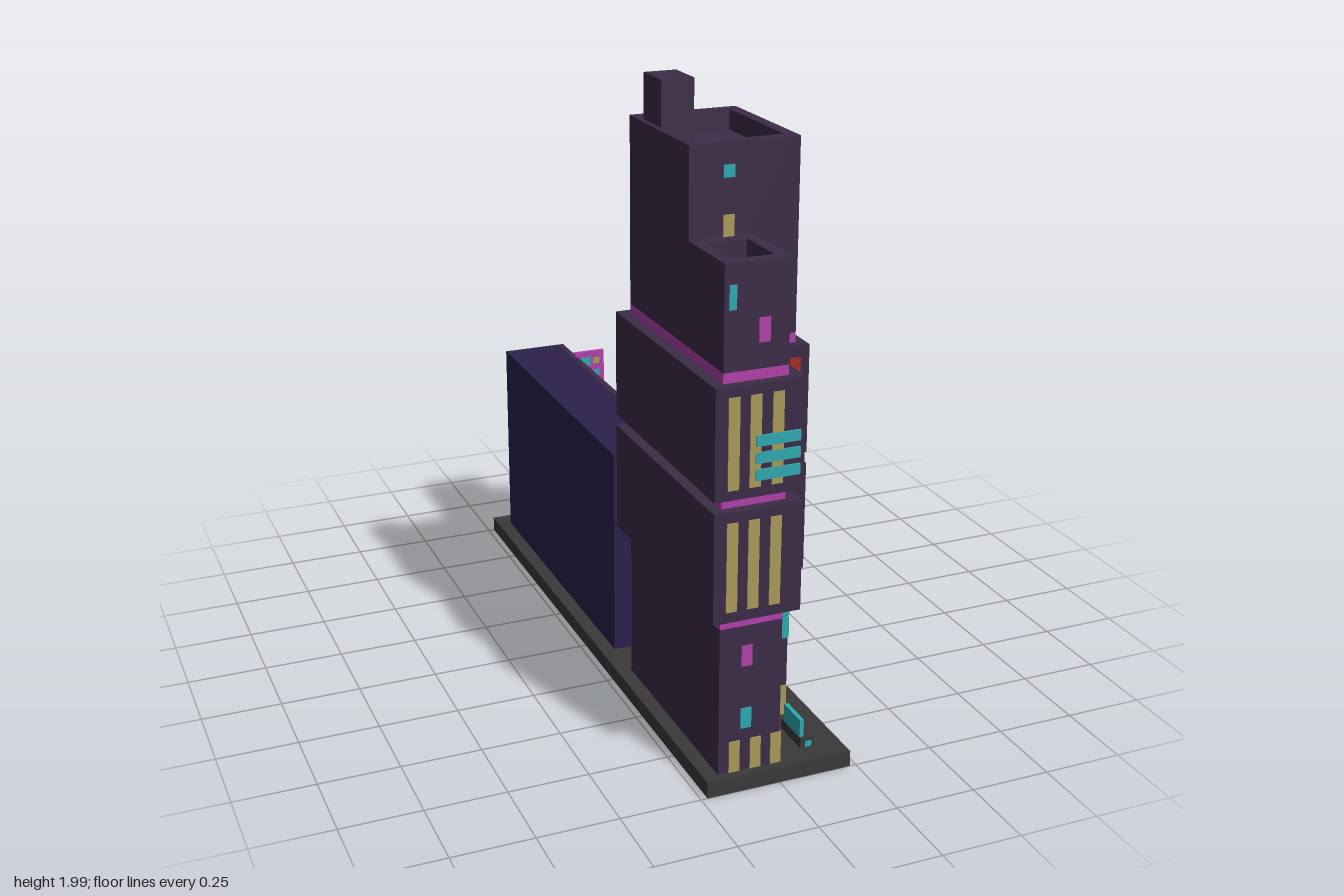
import * as THREE from 'three';

const mat = (name, color) => { const m = new THREE.MeshStandardMaterial({ color }); m.name = name; return m; };
const M = {
  P: mat('plum wall', 0x3c2c47), N: mat('navy wall', 0x2c204c), Y: mat('yellow glass', 0xab9a5a),
  C: mat('cyan glow', 0x2ea9b1), G: mat('magenta glow', 0xb041a9), R: mat('red glass', 0xa82e22),
  S: mat('rust metal', 0x6e3453), A: mat('asphalt', 0x3a3a3a), W: mat('white paint', 0xd2d2d2),
};

export function createModel() {
  const root = new THREE.Group();
  let group = root;
  const part = (name) => { group = new THREE.Group(); group.name = name; root.add(group); };
  const add = (name, m, geo) => {
    const mesh = new THREE.Mesh(geo, M[m]);
    mesh.name = name;
    group.add(mesh);
    return mesh;
  };
  // box given by its limits
  const box = (name, m, x0, x1, y0, y1, z0, z1) => {
    const mesh = add(name, m, new THREE.BoxGeometry(x1 - x0, y1 - y0, z1 - z0));
    mesh.position.set((x0 + x1) / 2, (y0 + y1) / 2, (z0 + z1) / 2);
    return mesh;
  };
  // thin panes on walls facing +x and +z / -z
  const T = 0.003, PW = 0.034;
  const sidePane = (x, m, z, y, h, w = PW) => box('window', m, x - T, x + T, y - h / 2, y + h / 2, z - w / 2, z + w / 2);
  const endPane = (z, m, x, y, h, w = PW) => box('window', m, x - w / 2, x + w / 2, y - h / 2, y + h / 2, z - T, z + T);
  const sidePanes = (x, list) => list.forEach((p) => sidePane(x, ...p));
  const endPanes = (z, list) => list.forEach((p) => endPane(z, ...p));

  part('ground');
  box('groundSlab', 'A', -0.23, 0.23, 0, 0.05, -1, 1);

  // L-shaped storeys: main body plus a narrower front wing
  part('tower');
  const storey = (name, m, x0, x1, xw, z0, zm, z1, y0, y1) => {
    const s = new THREE.Shape([[x0, -z0], [x0, -z1], [xw, -z1], [xw, -zm], [x1, -zm], [x1, -z0]].map((p) => new THREE.Vector2(...p)));
    const geo = new THREE.ExtrudeGeometry(s, { depth: y1 - y0, bevelEnabled: false });
    geo.rotateX(-Math.PI / 2).translate(0, y0, 0);
    add(name, m, geo);
  };
  const slim = [-0.185, 0.15, 0.01, 0.3, 0.73, 0.97], wide = [-0.22, 0.18, 0.05, 0.27, 0.76, 1];
  storey('lowerStorey', 'P', ...slim, 0.05, 0.515);
  storey('middleStorey', 'P', ...wide, 0.55, 0.885);
  storey('upperStorey', 'P', ...wide, 0.92, 1.25);
  for (const [a, b] of [[0.515, 0.55], [0.885, 0.92], [1.25, 1.28]]) storey('lightBand', 'G', ...slim, a, b);

  // top blocks: solid core, pierced right wall, parapet round a sunken roof
  const topBlock = (name, x1, z0, z1, y1, floor, niches, n0, n1) => {
    const t = 0.035, x0 = -0.185;
    box(name + 'Core', 'P', x0, x1 - t, 1.28, floor, z0, z1);
    box(name + 'LeftParapet', 'P', x0, x0 + t, floor, y1, z0, z1);
    box(name + 'BackParapet', 'P', x0 + t, x1 - t, floor, y1, z0, z0 + t);
    box(name + 'FrontParapet', 'P', x0 + t, x1 - t, floor, y1, z1 - t, z1);
    const rect = (a, b, c, d, K) => new K([[a, c], [b, c], [b, d], [a, d]].map((p) => new THREE.Vector2(...p)));
    const wall = rect(-z1, -z0, 1.28, y1, THREE.Shape);
    for (const z of niches) {
      wall.holes.push(rect(-z - 0.016, -z + 0.016, n0, n1, THREE.Path));
      sidePane(x1 - t, 'Y', z, (n0 + n1) / 2, n1 - n0);
    }
    const geo = new THREE.ExtrudeGeometry(wall, { depth: t, bevelEnabled: false });
    add(name + 'RightWall', 'P', geo.rotateY(Math.PI / 2).translate(x1 - t, 0, 0));
  };
  topBlock('mainTop', 0.15, 0.3, 0.73, 1.85, 1.79, [0.685, 0.618, 0.55, 0.483, 0.417, 0.353], 1.72, 1.785);
  topBlock('wingTop', 0.01, 0.73, 0.97, 1.585, 1.53, [0.92, 0.853, 0.785], 1.455, 1.52);
  box('roofHut', 'P', -0.17, -0.07, 1.79, 1.985, 0.37, 0.5);
  box('roofHutDoor', 'A', -0.073, -0.067, 1.8, 1.95, 0.4, 0.47);

  part('towerWindows');
  // front
  endPanes(0.73, [['C', -0.065, 1.77, 0.036], ['Y', -0.065, 1.615, 0.065], ['G', 0.08, 1.4, 0.07]]);
  endPanes(0.97, [['C', -0.16, 1.49, 0.07, 0.022], ['G', -0.065, 1.39, 0.07], ['G', -0.1, 0.42, 0.065], ['C', -0.1, 0.22, 0.065]]);
  for (const x of [-0.165, -0.1, -0.033]) endPanes(1, [['Y', x, 1.085, 0.27], ['Y', x, 0.718, 0.27]]);
  for (const y of [1.085, 1.035, 0.985]) box('frontSignBar', 'C', -0.1, 0.035, y - 0.016, y + 0.016, 0.99, 1.006);
  endPanes(0.76, [['R', 0.135, 1.165, 0.1], ['G', 0.135, 1.035, 0.03], ['G', 0.135, 0.97, 0.03], ['Y', 0.135, 0.635, 0.1]]);
  endPanes(0.735, [['C', 0.093, 0.402, 0.028, 0.115], ['C', 0.05, 0.365, 0.035, 0.028], ['C', 0.115, 0.348, 0.07, 0.07]]);
  for (const x of [-0.135, -0.068, -0.003]) endPane(0.97, 'Y', x, 0.1, 0.1);
  for (const x of [0.065, 0.132]) endPane(0.73, 'Y', x, 0.1, 0.1);
  // right side
  sidePanes(0.15, [
    ['C', 0.65, 1.62, 0.07], ['G', 0.45, 1.62, 0.07], ['R', 0.385, 1.635, 0.03], ['Y', 0.65, 1.47, 0.03],
    ['Y', 0.55, 1.49, 0.065], ['R', 0.385, 1.49, 0.065], ['C', 0.65, 1.355, 0.065], ['G', 0.45, 1.34, 0.03],
    ['Y', 0.385, 1.355, 0.065], ['G', 0.45, 0.465, 0.035], ['R', 0.385, 0.435, 0.1], ['C', 0.685, 0.365, 0.03],
    ['Y', 0.685, 0.43, 0.065], ['G', 0.685, 0.25, 0.065], ['C', 0.55, 0.265, 0.03], ['R', 0.385, 0.285, 0.065],
    ['Y', 0.665, 0.1, 0.1, 0.065], ['Y', 0.515, 0.1, 0.1, 0.17], ['Y', 0.337, 0.1, 0.1, 0.068],
  ]);
  sidePanes(0.18, [
    ['Y', 0.685, 1.155, 0.07], ['R', 0.585, 1.165, 0.1], ['Y', 0.35, 1.135, 0.03], ['G', 0.685, 1, 0.1],
    ['C', 0.585, 1.035, 0.035], ['C', 0.585, 0.97, 0.03], ['Y', 0.45, 0.985, 0.065], ['G', 0.585, 0.82, 0.065],
    ['R', 0.35, 0.8, 0.1], ['C', 0.685, 0.77, 0.03], ['G', 0.685, 0.65, 0.065], ['Y', 0.685, 0.6, 0.035],
    ['C', 0.585, 0.67, 0.03], ['C', 0.585, 0.6, 0.035], ['G', 0.45, 0.63, 0.1], ['Y', 0.35, 0.6, 0.035],
  ]);
  sidePanes(0.05, [
    ['R', 0.917, 1.165, 0.1], ['R', 0.818, 1.035, 0.035], ['G', 0.917, 0.97, 0.03], ['Y', 0.917, 0.8, 0.03],
    ['Y', 0.917, 0.735, 0.035], ['G', 0.917, 0.6, 0.1], ['C', 0.818, 0.765, 0.1], ['Y', 0.818, 0.6, 0.035],
  ]);
  sidePanes(0.01, [['C', 0.818, 0.415, 0.065], ['Y', 0.947, 0.1, 0.1], ['Y', 0.86, 0.1, 0.1, 0.09], ['Y', 0.752, 0.1, 0.1]]);
  // back
  endPanes(0.3, [['C', 0.066, 1.77, 0.036], ['Y', 0.066, 1.61, 0.065], ['Y', -0.07, 1.5, 0.065], ['Y', 0.066, 1.45, 0.03],
    ['C', 0.066, 1.34, 0.065], ['Y', -0.13, 0.1, 0.1, 0.08], ['C', -0.13, 0.28, 0.065]]);
  endPanes(0.27, [['Y', 0.125, 1.165, 0.1], ['G', 0, 1.14, 0.065], ['R', 0.125, 1, 0.1], ['G', 0, 1.0, 0.065],
    ['C', -0.13, 1.03, 0.1], ['G', 0, 0.8, 0.035], ['C', 0.1, 0.66, 0.1], ['R', 0, 0.69, 0.035], ['G', 0, 0.62, 0.035]]);

  // long low block with a gridded facade
  part('lowBlock');
  box('lowBlockBody', 'N', -0.185, 0.015, 0.05, 0.735, -0.93, 0.15);
  box('facadeHead', 'P', 0.015, 0.035, 0.72, 0.735, -0.93, 0.15);
  box('facadeFoot', 'P', 0.015, 0.035, 0.05, 0.08, -0.93, 0.15);
  for (let i = 0; i < 7; i++) {
    const z = 0.05 - 0.15 * i;
    for (const [y, h] of [[0.67, 0.1], [0.533, 0.095], [0.398, 0.097], [0.13, 0.105]]) sidePane(0.015, 'Y', z, y, h, 0.1);
  }
  for (let i = 0; i < 8; i++) {
    const z = 0.125 - 0.15 * i;
    box('pier', 'P', 0.015, 0.035, 0.08, 0.72, Math.max(z - 0.025, -0.93), Math.min(z + 0.025, 0.15));
  }
  for (const y of [0.1, 0.13, 0.16]) box('doorBar', 'N', 0.015, 0.022, y, y + 0.012, -0.44, -0.37);
  // ragged paint splashes
  [[-0.09, 0.04], [-0.245, 0.03], [-0.39, 0.045], [-0.555, 0.043]].forEach(([z, r], k) => {
    const s = new THREE.Shape(Array.from({ length: 18 }, (_, i) => {
      const a = (i / 18) * Math.PI * 2, f = i % 2 ? 0.7 + 0.12 * Math.sin(i * 2 + k) : 1 + 0.12 * Math.cos(i * 3 + k * 2);
      return new THREE.Vector2(-z + Math.cos(a) * r * f, 0.28 + Math.sin(a) * 0.042 * f);
    }));
    add('paintSplash', 'W', new THREE.ShapeGeometry(s).rotateY(Math.PI / 2).translate(0.019, 0, 0));
  });

  // fire escape: railed landings joined by stepped flights
  part('fireEscape');
  const landing = (x0, x1, y, z0, z1, posts) => {
    box('landingFloor', 'S', x0, x1, y, y + 0.01, z0, z1);
    box('handrail', 'S', x1 - 0.008, x1, y + 0.032, y + 0.042, z0, z1);
    for (let i = 0; i <= posts; i++) {
      const z = z0 + 0.005 + ((z1 - z0 - 0.01) * i) / posts;
      box('railPost', 'S', x1 - 0.008, x1, y, y + 0.042, z - 0.005, z + 0.005);
    }
  };
  const flight = (x0, x1, za, ya, zb, yb, n) => {
    const dz = (zb - za) / n, dy = (yb - ya) / n;
    for (let i = 0; i < n; i++) {
      const z = za + dz * (i + 0.5), y = ya + dy * (i + 1);
      box('step', 'S', x0, x1, y - dy - 0.008, y, z - Math.abs(dz) / 2, z + Math.abs(dz) / 2);
    }
  };
  landing(0.02, 0.09, 0.305, 0.06, 0.3, 3);
  flight(0.02, 0.09, 0.06, 0.315, -0.02, 0.415, 6);
  landing(0.02, 0.09, 0.41, -0.33, -0.02, 3);
  flight(0.06, 0.1, -0.33, 0.42, -0.39, 0.505, 5);
  landing(0.02, 0.105, 0.497, -0.46, -0.375, 1);
  flight(0.02, 0.055, -0.39, 0.505, -0.325, 0.58, 5);
  landing(0.02, 0.09, 0.573, -0.33, -0.02, 3);

  // hanging blade sign with abstract colour blocks on both faces
  part('bladeSign');
  box('signPanel', 'G', 0.025, 0.135, 0.45, 0.75, -0.785, -0.77);
  for (const z of [-0.785, -0.77]) {
    for (let i = 0; i < 6; i++) {
      const y = 0.485 + i * 0.046;
      endPanes(z, [[i % 2 ? 'C' : 'Y', 0.065, y, 0.03, 0.04], [i % 2 ? 'Y' : 'C', 0.105, y, 0.022, 0.025]]);
    }
  }

  // street lines, posts and kiosk
  part('street');
  const line = (x0, x1, z0, z1, m = 'C') => box('streetLine', m, x0, x1, 0.05, 0.056, z0, z1);
  line(0.132, 0.148, -0.9, -0.45);
  line(0.132, 0.148, -0.33, 0.1);
  line(0.04, 0.132, -0.915, -0.9);
  line(0.1, 0.132, 0.11, 0.125);
  for (const z of [-0.45, -0.34]) line(0.11, 0.212, z, z + 0.01);
  for (const x of [0.11, 0.204]) line(x, x + 0.008, -0.44, -0.34);
  for (const z of [-0.09, -0.69]) box('floorLamp', 'G', 0.035, 0.045, 0.05, 0.065, z - 0.007, z + 0.007);
  for (let i = 0; i < 7; i++) {
    const z = 0.07 - 0.152 * i;
    box('post', 'A', 0.2, 0.214, 0.05, 0.085, z - 0.007, z + 0.007);
    box('postLamp', 'Y', 0.201, 0.213, 0.085, 0.096, z - 0.006, z + 0.006);
    box('postCap', 'A', 0.2, 0.214, 0.096, 0.1, z - 0.007, z + 0.007);
  }
  box('kioskBase', 'A', 0.1, 0.145, 0.05, 0.082, 0.8, 0.93);
  box('kioskScreen', 'C', 0.102, 0.115, 0.082, 0.138, 0.815, 0.92);
  endPane(0.93, 'C', 0.125, 0.062, 0.018, 0.02);
  return root;
}
